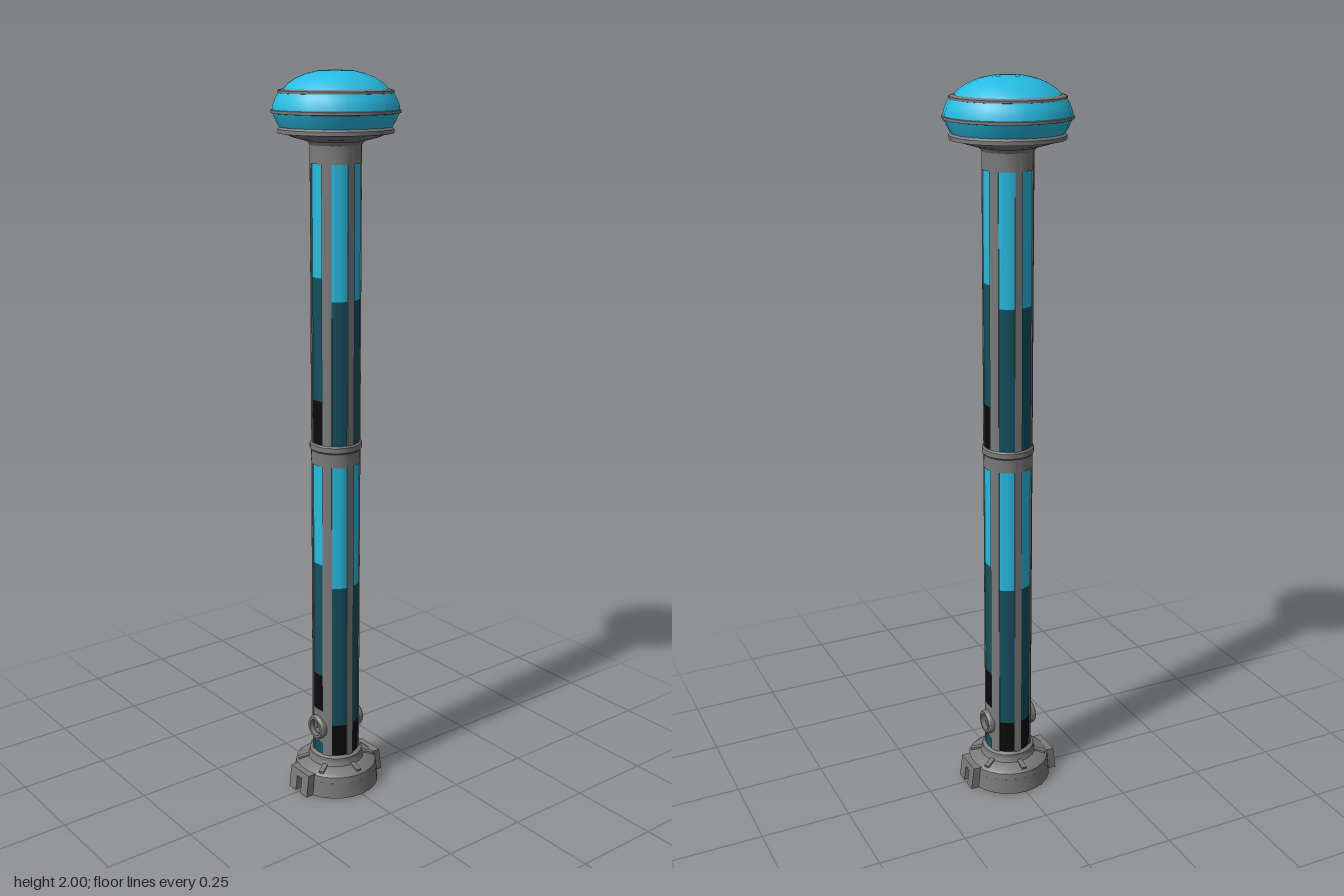
import * as THREE from 'three';
import { toCreasedNormals } from 'three/addons/utils/BufferGeometryUtils.js';

const RAD = Math.PI / 180;

function material(name, color, side = THREE.FrontSide) {
  const m = new THREE.MeshStandardMaterial({ color, side });
  m.name = name;
  return m;
}

export function createModel() {
  const gray = material('gray metal', 0x7a7a7a, THREE.DoubleSide);
  const cyan = material('bright cyan', 0x26bce2);
  const teal = material('dark teal', 0x12505f);
  const black = material('black', 0x0b0b0b);

  const model = new THREE.Group();
  model.name = 'lightTower';

  function add(name, geometry, mat, parent = model) {
    const mesh = new THREE.Mesh(geometry, mat);
    mesh.name = name;
    parent.add(mesh);
    return mesh;
  }

  // Turned part from [radius, height] points, flat sides facing the axes
  function turned(points, sides = 20, start = Math.PI / sides, length = Math.PI * 2) {
    const pts = points.map(([r, y]) => new THREE.Vector2(r, y));
    return toCreasedNormals(new THREE.LatheGeometry(pts, sides, start, length), 0.45);
  }

  // Upright curved slab between two radii, heights and angles (degrees)
  function arcSlab(r0, r1, y0, y1, a0, a1) {
    const s = new THREE.Shape();
    s.absarc(0, 0, r1, a0 * RAD, a1 * RAD, false);
    s.absarc(0, 0, r0, a1 * RAD, a0 * RAD, true);
    s.closePath();
    const g = new THREE.ExtrudeGeometry(s, { depth: y1 - y0, bevelEnabled: false, curveSegments: 4 });
    g.rotateX(-Math.PI / 2).translate(0, y0, 0);
    return toCreasedNormals(g, 0.45);
  }

  // ---- Base: slotted skirt, sloping shoulder and collar ----
  const base = new THREE.Group();
  base.name = 'base';
  model.add(base);
  const skirt = [[0.1, 0], [0.122, 0], [0.118, 0.045], [0.1, 0.045], [0.1, 0]];
  for (const start of [Math.PI / 2 + 0.1, -Math.PI / 2 + 0.1]) {
    add('baseSkirt', turned(skirt, 12, start, Math.PI - 0.2), gray, base);
  }
  add('baseShoulder', turned([
    [0.001, 0.046], [0.118, 0.045], [0.116, 0.062], [0.108, 0.069], [0.08, 0.078],
    [0.075, 0.09], [0.075, 0.1], [0.066, 0.105], [0.001, 0.105],
  ], 24), gray, base);
  for (let i = 0; i < 6; i++) {
    const rib = add('shoulderRib', new THREE.BoxGeometry(0.034, 0.012, 0.014), gray, base);
    const a = (30 + i * 60) * RAD;
    rib.position.set(Math.cos(a) * 0.092, 0.073, Math.sin(a) * 0.092);
    rib.rotation.set(0, -a, -0.25, 'YXZ');
  }

  // Forked lugs on both sides
  const fork = new THREE.Shape([
    [-0.042, 0], [-0.011, 0], [-0.011, 0.045], [0.011, 0.045],
    [0.011, 0], [0.042, 0], [0.042, 0.065], [-0.042, 0.065],
  ].map(([z, y]) => new THREE.Vector2(z, y)));
  for (const side of [1, -1]) {
    const g = new THREE.ExtrudeGeometry(fork, { depth: 0.042, bevelEnabled: false });
    const p = g.attributes.position;
    for (let i = 0; i < p.count; i++) p.setZ(i, p.getZ(i) + 0.095 - p.getY(i) * 0.12);
    g.rotateY(side * Math.PI / 2);
    g.computeVertexNormals();
    add('sideLug', g, gray, base);
  }

  // ---- Shaft: six posts with glass strips between them ----
  const shaft = new THREE.Group();
  shaft.name = 'shaft';
  model.add(shaft);
  for (const [a0, a1] of [[19, 43], [81, 99], [137, 161], [199, 223], [261, 279], [317, 341]]) {
    add('post', arcSlab(0.055, 0.067, 0.1, 1.82, a0, a1), gray, shaft);
  }
  const diagonalBands = [
    [0.1, 0.2, black], [0.2, 0.62, teal], [0.62, 0.975, cyan],
    [1.025, 1.42, teal], [1.42, 1.77, cyan],
  ];
  const sideBands = [
    [0.1, 0.14, teal], [0.24, 0.35, black], [0.35, 0.685, teal], [0.685, 0.975, cyan],
    [1.025, 1.15, black], [1.15, 1.48, teal], [1.48, 1.77, cyan],
  ];
  for (const angle of [0, 62, 118, 180, 242, 298]) {
    const bands = angle % 180 === 0 ? sideBands : diagonalBands;
    for (const [y0, y1, mat] of bands) {
      add('glassStrip', arcSlab(0.057, 0.064, y0, y1, angle - 19, angle + 19), mat, shaft);
    }
  }
  add('middleBand', turned([
    [0.056, 0.97], [0.067, 0.97], [0.068, 1.008], [0.071, 1.012],
    [0.071, 1.026], [0.067, 1.03], [0.056, 1.03],
  ], 24), gray, shaft);
  add('topBand', turned([[0.056, 1.77], [0.067, 1.77], [0.067, 1.83], [0.056, 1.83]], 24), gray, shaft);

  // Round port running through the shaft from side to side
  const port = new THREE.Group();
  port.name = 'port';
  port.position.y = 0.185;
  shaft.add(port);
  const plate = new THREE.Shape();
  plate.moveTo(-0.022, -0.045);
  plate.lineTo(0.022, -0.045);
  plate.lineTo(0.022, 0.055);
  plate.lineTo(-0.022, 0.055);
  plate.closePath();
  const hole = new THREE.Path();
  hole.absarc(0, 0, 0.0205, 0, Math.PI * 2, true);
  plate.holes.push(hole);
  const rim = [[0.024, 0.05], [0.035, 0.05], [0.035, 0.07], [0.031, 0.076], [0.024, 0.076], [0.024, 0.05]];
  for (const side of [1, -1]) {
    const g = new THREE.ExtrudeGeometry(plate, { depth: 0.006, bevelEnabled: false });
    g.translate(0, 0, 0.057).rotateY(side * Math.PI / 2);
    add('portPlate', g, gray, port);
    add('portRim', turned(rim, 20).rotateZ(-side * Math.PI / 2), gray, port);
  }
  const tunnel = new THREE.CylinderGeometry(0.024, 0.024, 0.15, 20, 1, true);
  add('portTunnel', tunnel.rotateZ(Math.PI / 2), gray, port);

  // ---- Head: flared neck, ringed bulge and dome ----
  const head = new THREE.Group();
  head.name = 'head';
  model.add(head);
  add('neckFlare', turned([
    [0.06, 1.8], [0.067, 1.815], [0.074, 1.825], [0.105, 1.833], [0.13, 1.842],
    [0.15, 1.845], [0.15, 1.855], [0.143, 1.862], [0.1, 1.862],
  ]), gray, head);
  add('lowerBulge', turned([[0.143, 1.858], [0.152, 1.872], [0.163, 1.896]]), cyan, head);
  add('wideRing', turned([[0.155, 1.893], [0.167, 1.895], [0.167, 1.902], [0.155, 1.906]]), gray, head);
  add('upperBulge', turned([[0.164, 1.901], [0.162, 1.915], [0.155, 1.932], [0.146, 1.946]]), cyan, head);
  add('domeRing', turned([[0.14, 1.942], [0.149, 1.944], [0.149, 1.95], [0.136, 1.954], [0.12, 1.95]]), gray, head);
  add('dome', turned([
    [0.136, 1.952], [0.122, 1.967], [0.1, 1.981], [0.075, 1.991], [0.045, 1.998], [0, 2],
  ]), cyan, head);

  return model;
}
